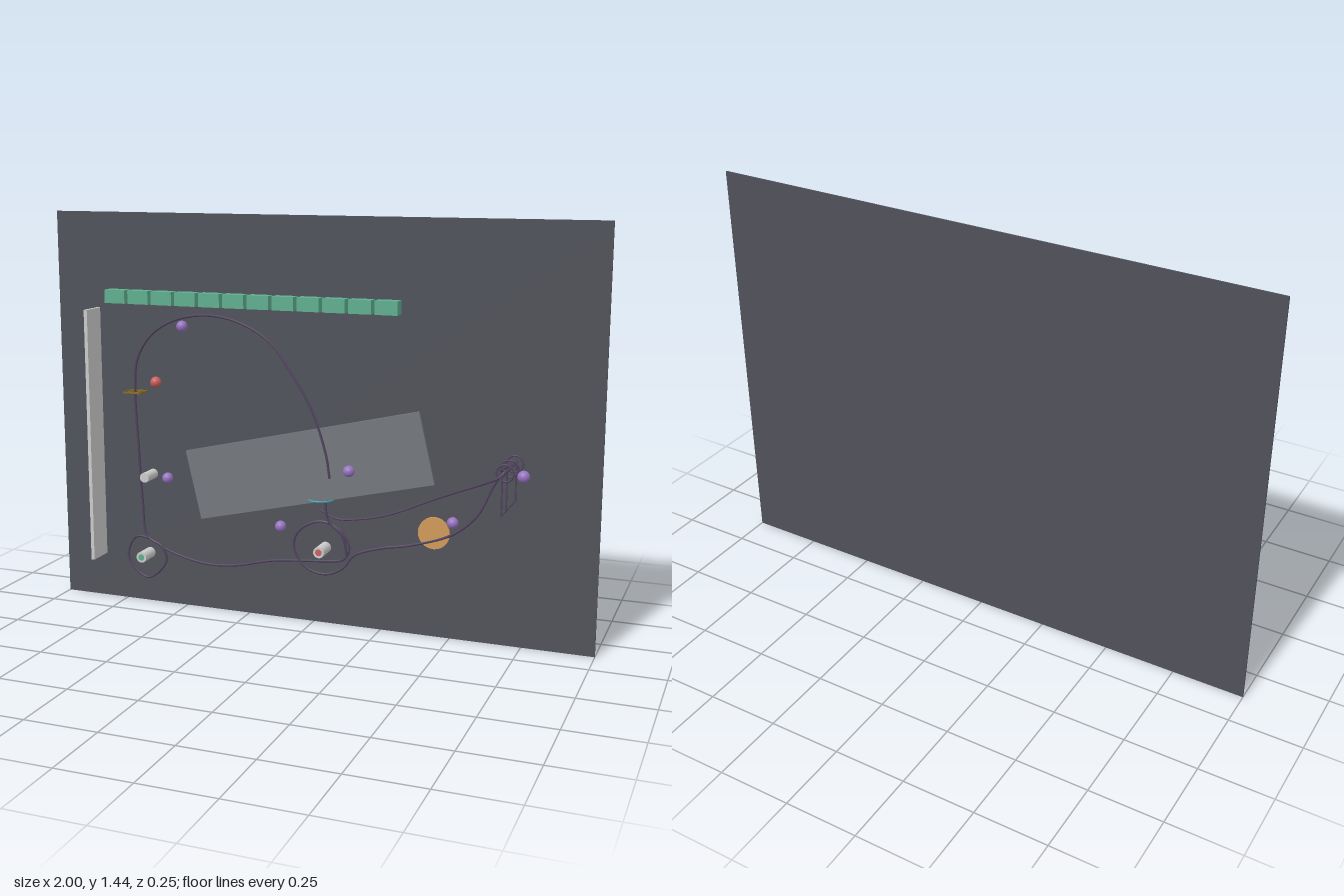
import * as THREE from 'three';

const BACK = -0.12; // front face of the board

export function createModel() {
  const group = new THREE.Group();
  const mats = {};
  const mat = (color) => (mats[color] ??= new THREE.MeshStandardMaterial({ color }));
  const add = (name, geo, color, x = 0, y = 0, z = 0, parent = group) => {
    const m = new THREE.Mesh(geo, mat(color));
    m.name = name;
    m.position.set(x, y, z);
    parent.add(m);
    return m;
  };
  const box = (name, color, w, h, d, x, y, z, parent) =>
    add(name, new THREE.BoxGeometry(w, h, d), color, x, y, z, parent);
  // cylinder along z from z0 to z1
  const peg = (name, color, r, x, y, z0, z1, parent) =>
    add(name, new THREE.CylinderGeometry(r, r, z1 - z0, 24).rotateX(Math.PI / 2), color, x, y, (z0 + z1) / 2, parent);
  const wire = (name, color, pts, r = 0.0045) => {
    const curve = new THREE.CatmullRomCurve3(pts.map((p) => new THREE.Vector3(...p)));
    return add(name, new THREE.TubeGeometry(curve, pts.length * 8, r, 8), color);
  };
  const rod = (name, color, a, b, r = 0.003) =>
    add(name, new THREE.TubeGeometry(new THREE.LineCurve3(new THREE.Vector3(...a), new THREE.Vector3(...b)), 1, r, 8), color);

  const TRACK = 0x51445f, GREY = 0xcccccc, PURPLE = 0x9673c0, GREEN = 0x5fae8f, RED = 0xc9605c;

  box('backBoard', 0x50525a, 2, 1.44, 0.005, 0, 0.72, -0.1225);

  // row of blocks
  for (let i = 0; i < 12; i++) {
    box('block', GREEN, 0.08, 0.048, 0.045, -0.749 + i * 0.0927, 1.141, BACK + 0.0225);
  }

  box('sideRail', GREY, 0.013, 0.93, 0.097, -0.84, 0.63, BACK + 0.0485);

  // tilted panel on stand-off pins
  const tilted = new THREE.Group();
  tilted.name = 'tiltedPanel';
  tilted.position.set(0, 0.583, 0);
  tilted.rotation.z = 0.229;
  group.add(tilted);
  box('panel', 0x74777c, 0.883, 0.252, 0.011, 0, 0, -0.0455, tilted);
  for (const u of [-0.23, -0.08, 0.08, 0.23, 0.38]) {
    for (const v of [-0.05, 0.04]) peg('standOffPin', 0x55575c, 0.008, u, v, BACK, -0.05, tilted);
  }

  // pegs
  peg('upperPeg', GREY, 0.018, -0.63, 0.49, BACK, -0.045);
  peg('leftLoopPeg', GREY, 0.02, -0.65, 0.187, BACK, -0.045);
  peg('centreLoopPeg', GREY, 0.02, 0.045, 0.28, BACK, -0.045);
  peg('leftPegTip', GREEN, 0.012, -0.65, 0.187, -0.045, -0.044);
  peg('centrePegTip', RED, 0.012, 0.045, 0.28, -0.045, -0.044);
  peg('disc', 0xd19a58, 0.056, 0.44, 0.373, BACK, -0.11);

  // balls
  const balls = [
    [-0.47, 1.05, -0.05], [0.16, 0.585, -0.03], [-0.55, 0.49, -0.075],
    [-0.11, 0.352, -0.078], [0.51, 0.421, -0.095], [0.787, 0.65, 0.105],
  ];
  const ballGeo = new THREE.SphereGeometry(0.02, 24, 16);
  for (const b of balls) add('ball', ballGeo, PURPLE, ...b);
  add('redBall', ballGeo, RED, -0.59, 0.84, -0.075);
  add('greenBall', ballGeo, GREEN, -0.17, 0.585, -0.06);

  // upper arch, drop, left loop
  wire('archTrack', TRACK, [
    [0.092, 0.555, -0.025], [0.08, 0.64, -0.02], [0.03, 0.79, -0.015], [-0.04, 0.91, -0.012],
    [-0.13, 1.02, -0.016], [-0.25, 1.078, -0.028], [-0.37, 1.094, -0.04], [-0.5, 1.07, -0.052],
    [-0.6, 1.01, -0.062], [-0.66, 0.92, -0.07], [-0.675, 0.8, -0.076], [-0.67, 0.6, -0.083],
    [-0.663, 0.4, -0.09], [-0.645, 0.26, -0.088], [-0.585, 0.225, -0.086], [-0.57, 0.17, -0.09],
    [-0.65, 0.098, -0.093], [-0.73, 0.17, -0.098], [-0.7, 0.247, -0.1], [-0.64, 0.245, -0.102],
    [-0.58, 0.213, -0.102], [-0.5, 0.188, -0.102], [-0.4, 0.173, -0.102], [-0.3, 0.18, -0.102],
    [-0.15, 0.215, -0.1], [-0.05, 0.226, -0.1], [0.05, 0.235, -0.098],
  ]);
  // centre loop and climb to the end frame
  wire('loopTrack', TRACK, [
    [0.05, 0.235, -0.098], [0.12, 0.25, -0.094], [0.143, 0.295, -0.09], [0.105, 0.36, -0.088],
    [0.035, 0.382, -0.087], [-0.045, 0.34, -0.088], [-0.065, 0.28, -0.09], [-0.025, 0.21, -0.093],
    [0.05, 0.188, -0.096], [0.115, 0.215, -0.1], [0.155, 0.265, -0.105], [0.25, 0.3, -0.11],
    [0.35, 0.32, -0.112], [0.5, 0.372, -0.11], [0.59, 0.45, -0.105], [0.645, 0.56, -0.107],
    [0.69, 0.635, -0.1], [0.72, 0.65, -0.08],
  ]);
  // link between the rings, then the return run to the centre
  wire('returnTrack', TRACK, [
    [0.72, 0.65, -0.08], [0.695, 0.64, -0.04], [0.69, 0.64, 0], [0.715, 0.65, 0.05],
    [0.7, 0.63, 0.063], [0.64, 0.597, 0.035], [0.55, 0.555, -0.005], [0.45, 0.508, -0.04],
    [0.3, 0.44, -0.06], [0.2, 0.412, -0.07], [0.1, 0.4, -0.08], [0.04, 0.425, -0.08],
  ], 0.004);
  wire('funnelChute', TRACK, [
    [0.06, 0.465, -0.07], [0.07, 0.39, -0.075], [0.12, 0.34, -0.08], [0.135, 0.26, -0.09],
  ]);

  // funnel rim
  add('funnelRim', new THREE.TorusGeometry(0.045, 0.003, 8, 40).rotateX(Math.PI / 2), 0x3fa9b5, 0.045, 0.468, -0.07);

  // square gate around the drop
  for (const s of [0.031, 0.019]) {
    for (const k of [-1, 1]) {
      box('gateBar', 0x8a6d22, s * 2 + 0.005, 0.005, 0.005, -0.673, 0.8, -0.077 + k * s);
      box('gateBar', 0x8a6d22, 0.005, 0.005, s * 2 + 0.005, -0.673 + k * s, 0.8, -0.077);
    }
  }

  // end frame with guide rings
  const X = 0.718, TOP = 0.645, LOW = 0.515;
  for (const y of [TOP, LOW]) rod('frameRail', TRACK, [X, y, BACK], [X, y, 0.1]);
  for (const z of [0.1, 0.03, -0.11]) rod('framePost', TRACK, [X, LOW, z], [X, TOP, z]);
  for (const z of [0.06, -0.01, -0.085]) add('guideRing', new THREE.TorusGeometry(0.028, 0.003, 8, 32), TRACK, X, TOP, z);

  return group;
}
